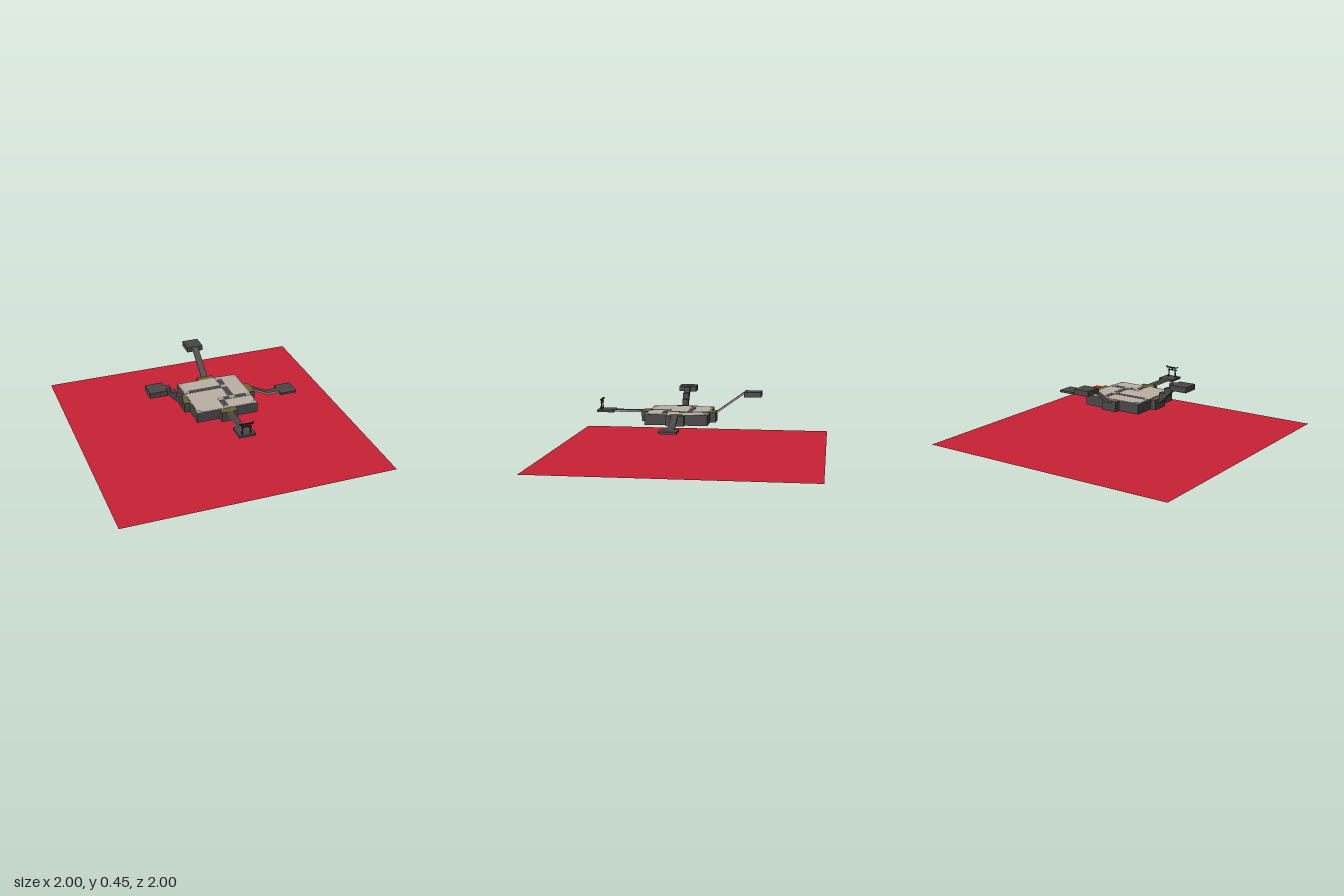
import * as THREE from 'three';

const mat = (name, color) => {
  const m = new THREE.MeshStandardMaterial({ color });
  m.name = name;
  return m;
};

export function createModel() {
  const root = new THREE.Group();
  root.name = 'arena';
  const red = mat('red ground', 0xc92234);
  red.side = THREE.DoubleSide;
  const dark = mat('dark stone', 0x4a4747);
  const beige = mat('beige floor', 0xbab0a4);
  const grey = mat('pale grey stone', 0x9a9e9d);
  const side = mat('walkway grey', 0x9c9898);
  const olive = mat('olive ledge', 0x6f6128);
  const black = mat('black wood', 0x262424);

  const add = (name, geometry, material, parent = root) => {
    const mesh = new THREE.Mesh(geometry, material);
    mesh.name = name;
    parent.add(mesh);
    return mesh;
  };
  // Box given by its extents
  const block = (name, x0, x1, y0, y1, z0, z1, material, parent) => {
    const g = new THREE.BoxGeometry(x1 - x0, y1 - y0, z1 - z0);
    g.translate((x0 + x1) / 2, (y0 + y1) / 2, (z0 + z1) / 2);
    return add(name, g, material, parent);
  };
  const topped = (body, top) => [body, body, top, body, body, body];

  // Ground sheet
  add('ground', new THREE.PlaneGeometry(2, 2).rotateX(-Math.PI / 2), red);

  // Central platform and the four olive-topped ledges
  const CX = 0.01, CZ = 0.065, Y0 = 0.225, Y1 = 0.3;
  block('platform', -0.217, 0.238, Y0, Y1, -0.163, 0.29, topped(dark, grey));
  [
    ['leftLedge', 0.238, 0.28, 0, 0.128],
    ['rightLedge', -0.257, -0.217, 0, 0.128],
    ['backLedge', -0.05, 0.07, -0.204, -0.163],
    ['frontLedge', -0.05, 0.07, 0.29, 0.34],
  ].forEach(([n, x0, x1, z0, z1]) => block(n, x0, x1, Y0, Y1, z0, z1, topped(dark, olive)));

  // Beige floor with cut corners over the grey slab
  const h = 0.219, c = 0.178;
  const floor = new THREE.Shape([
    [-c, -h], [c, -h], [h, -c], [h, c], [c, h], [-c, h], [-h, c], [-h, -c],
  ].map(([x, y]) => new THREE.Vector2(x, y)));
  const floorGeo = new THREE.ExtrudeGeometry(floor, { depth: 0.002, bevelEnabled: false });
  floorGeo.rotateX(-Math.PI / 2).translate(CX, Y1, CZ);
  add('floor', floorGeo, beige);

  // Dark paths inlaid in the floor
  [
    [-0.175, 0.072, -0.036, 0.002],
    [0.072, 0.115, -0.115, 0.132],
    [0.03, 0.2, 0.132, 0.174],
    [-0.012, 0.03, 0.174, 0.26],
    [-0.214, -0.206, 0.03, 0.11],
    [-0.214, -0.206, 0.15, 0.22],
  ].forEach(([x0, x1, z0, z1]) => block('path', x0, x1, Y1, Y1 + 0.003, z0, z1, dark));

  // Grey paving squares at path ends and junctions
  [
    [0.072, 0.115, -0.163, -0.115],
    [0.072, 0.115, -0.036, 0.002],
    [0.072, 0.115, 0.132, 0.174],
    [-0.012, 0.03, 0.132, 0.174],
    [0.2, 0.238, 0.132, 0.174],
    [-0.012, 0.03, 0.26, 0.29],
    [-0.217, -0.175, -0.036, 0.002],
  ].forEach(([x0, x1, z0, z1]) => block('pavingSquare', x0, x1, Y1, Y1 + 0.004, z0, z1, grey));

  // Walkway along +x, its top sloping from ya to yb
  const walkway = (name, length, ya, yb) => {
    const g = new THREE.BoxGeometry(length, 0.016, 0.046).translate(length / 2, -0.008, 0);
    const p = g.attributes.position;
    for (let i = 0; i < p.count; i++) {
      p.setY(i, p.getY(i) + ya + (yb - ya) * p.getX(i) / length);
    }
    g.computeVertexNormals();
    return add(name, g, topped(side, dark));
  };

  // Left arm: ramp down, short level run, low pad
  walkway('leftRamp', 0.12, 0.3, 0.241).position.set(0.28, 0, 0.066);
  walkway('leftBridge', 0.09, 0.241, 0.241).position.set(0.4, 0, 0.066);
  block('leftPad', 0.49, 0.615, 0.225, 0.241, 0, 0.128, dark);

  // Back arm: ramp up to a raised pad
  const backRamp = walkway('backRamp', 0.207, 0.3, 0.449);
  backRamp.rotation.y = Math.PI / 2;
  backRamp.position.set(CX, 0, -0.203);
  block('backPad', -0.05, 0.07, 0.413, 0.45, -0.532, -0.41, dark);

  // Front arm: level bridge and pad
  const frontBridge = walkway('frontBridge', 0.21, 0.3, 0.3);
  frontBridge.rotation.y = -Math.PI / 2;
  frontBridge.position.set(CX, 0, 0.34);
  block('frontPad', -0.05, 0.07, 0.284, 0.301, 0.55, 0.673, dark);

  // Right arm: stairs with a sloped underside and a high pad
  const stairs = new THREE.Shape([
    [-0.385, 0.39], [-0.257, 0.262], [-0.257, 0.345], [-0.302, 0.345], [-0.302, 0.386],
    [-0.345, 0.386], [-0.345, 0.429], [-0.385, 0.429],
  ].map(([x, y]) => new THREE.Vector2(x, y)));
  const stairGeo = new THREE.ExtrudeGeometry(stairs, { depth: 0.044, bevelEnabled: false });
  add('stairs', stairGeo.translate(0, 0, 0.044), dark);
  block('rightPad', -0.51, -0.384, 0.39, 0.43, 0, 0.128, dark);

  // Wooden gate on the front pad
  const gate = new THREE.Group();
  gate.name = 'gate';
  gate.position.set(CX, 0.3, 0.648);
  root.add(gate);
  block('gateTieBeam', -0.04, 0.04, 0.05, 0.056, -0.004, 0.004, black, gate);
  block('gateTopBeam', -0.044, 0.044, 0.069, 0.076, -0.006, 0.006, black, gate);
  block('gateStrut', -0.004, 0.004, 0.056, 0.069, -0.003, 0.003, black, gate);
  for (const s of [-1, 1]) {
    const post = add('gatePost', new THREE.CylinderGeometry(0.004, 0.005, 0.072, 8), black, gate);
    post.position.set(s * 0.028, 0.036, 0);
    post.rotation.z = s * 0.1;
    const tip = block('gateBeamTip', -0.008, 0.008, -0.003, 0.004, -0.006, 0.006, black, gate);
    tip.position.set(s * 0.045, 0.075, 0);
    tip.rotation.z = s * 0.35;
    add('gateFoot', new THREE.CylinderGeometry(0.007, 0.008, 0.01, 8), black, gate)
      .position.set(s * 0.031, 0.005, 0);
  }
  return root;
}
